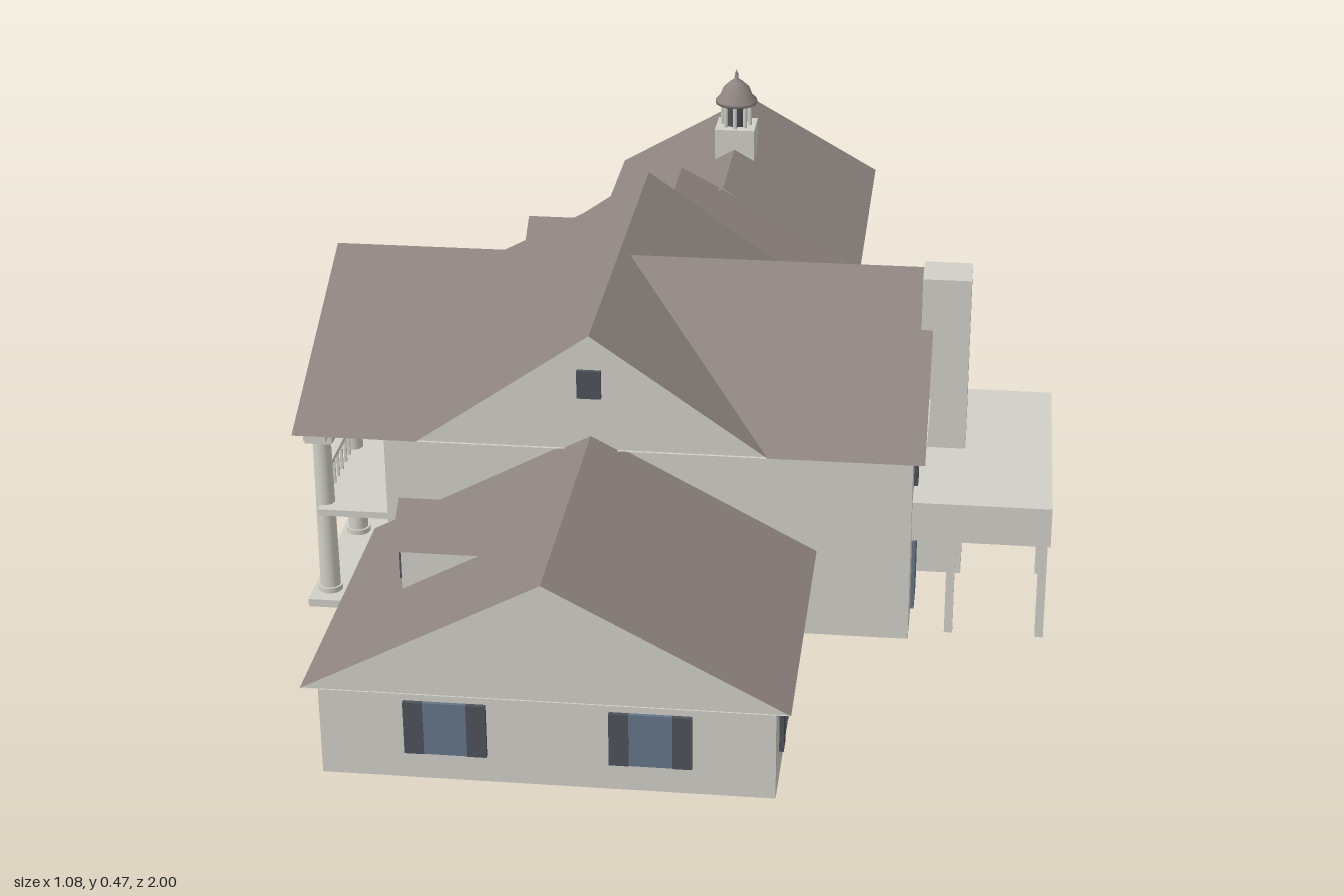
import * as THREE from 'three';

const mat = (name, color) => new THREE.MeshStandardMaterial({ name, color, side: THREE.DoubleSide });

export function createModel() {
  const house = new THREE.Group();
  house.name = 'house';
  const wall = mat('wall', 0xd0cfc7), roof = mat('roof', 0x8e8480);
  const glass = mat('glass', 0x64758a), shutter = mat('shutter', 0x4e5259);

  const add = (name, geo, m, x = 0, y = 0, z = 0, parent = house) => {
    const mesh = new THREE.Mesh(geo, m);
    mesh.name = name;
    mesh.position.set(x, y, z);
    parent.add(mesh);
    return mesh;
  };
  // Box given by its limits
  const block = (name, m, x0, x1, y0, y1, z0, z1) => add(name,
    new THREE.BoxGeometry(x1 - x0, y1 - y0, z1 - z0), m, (x0 + x1) / 2, (y0 + y1) / 2, (z0 + z1) / 2);
  // Flat convex faces, each a fan of corners
  const faces = (name, m, list) => {
    const p = [];
    for (const f of list) for (let i = 1; i < f.length - 1; i++) p.push(...f[0], ...f[i], ...f[i + 1]);
    const g = new THREE.BufferGeometry();
    g.setAttribute('position', new THREE.Float32BufferAttribute(p, 3));
    g.computeVertexNormals();
    return add(name, g, m);
  };
  // Four open walls
  const walls = (name, x0, x1, z0, z1, h) => {
    const c = [[x0, z0], [x0, z1], [x1, z1], [x1, z0]];
    faces(name, wall, c.map(([x, z], i) => {
      const [u, v] = c[(i + 1) % 4];
      return [[x, 0, z], [u, 0, v], [u, h, v], [x, h, z]];
    }));
  };
  // Flat ring under the eaves
  const soffit = (name, y, o, n) => {
    const rect = (T, [x0, x1, z0, z1]) => new T([[x0, z0], [x1, z0], [x1, z1], [x0, z1]].map(q => new THREE.Vector2(...q)));
    const s = rect(THREE.Shape, o);
    s.holes.push(rect(THREE.Path, n));
    add(name, new THREE.ShapeGeometry(s).rotateX(Math.PI / 2), wall, 0, y, 0);
  };

  // Low wings: walls, gable roof along z, gable ends
  const wing = (name, x0, x1, z0, z1, ridge, ends, wz0, wz1) => {
    const e = 0.135, c = (x0 + x1) / 2;
    walls(name + 'Walls', x0 + 0.02, x1 - 0.02, wz0, wz1, e);
    faces(name + 'Roof', roof, [x0, x1].map(x => [[x, e, z0], [c, ridge, z0], [c, ridge, z1], [x, e, z1]]));
    faces(name + 'Gable', wall, ends.map(z => [[x0, e, z], [x1, e, z], [c, ridge, z]]));
    soffit(name + 'Soffit', e, [x0, x1, z0, z1], [x0 + 0.02, x1 - 0.02, wz0 + 0.001, wz1 - 0.001]);
  };
  wing('frontWing', -0.43, 0.21, 0.556, 1, 0.305, [0.998], 0.556, 0.985);
  wing('middleWing', -0.43, 0.21, -0.52, -0.055, 0.305, [-0.518], -0.51, -0.055);
  wing('backWing', -0.28, 0.21, -1, -0.5, 0.275, [-0.998], -0.985, -0.51);

  // Main block with crossing gable roofs
  walls('mainWalls', -0.41, 0.343, -0.055, 0.556, 0.285);
  const E = 0.285, R = 0.45, P = 0.46, cx = -0.11, cz = 0.245;
  const zs = [-0.08, 0.57];
  const sides = [[-0.36, -0.124, -0.54], [0.14, -0.096, 0.36]];
  for (const [xe, xm, end] of sides) {
    faces('mainRoof', roof, zs.map(z => [[end, E, z], [xe, E, z], [xm, R, cz], [end, R, cz]]));
    faces('crossRoof', roof, [[[xm, R, cz], [xe, E, zs[0]], [cx, P, zs[0]], [cx, P, zs[1]], [xe, E, zs[1]]]]);
    const g = end * 0.99;
    faces('sideGable', wall, [[[g, E, zs[0]], [g, E, zs[1]], [g, R, cz]]]);
  }
  faces('crossGable', wall, [-0.076, 0.566].map(z => [[-0.36, E, z], [0.14, E, z], [cx, P, z]]));
  soffit('mainSoffit', E, [-0.54, 0.36, ...zs], [-0.409, 0.342, -0.054, 0.555]);
  for (const z of [-0.079, 0.569]) block('atticVent', shutter, -0.128, -0.094, 0.365, 0.407, z - 0.003, z + 0.003);

  // Windows and doors; turn points the plate along its wall normal
  const opening = (name, x, y, z, turn, w, h, sh) => {
    const g = new THREE.Group();
    g.name = name;
    g.position.set(x, y, z);
    g.rotation.y = turn;
    house.add(g);
    add('pane', new THREE.BoxGeometry(w, h, 0.006), glass, 0, 0, 0, g);
    if (sh) for (const s of [-1, 1]) add('shutter', new THREE.BoxGeometry(sh, h, 0.008), shutter, s * (w + sh) / 2, 0, 0, g);
  };
  const low = (x, z, turn) => opening('window', x, 0.078, z, turn, 0.057, 0.077, 0.026);
  const q = Math.PI / 2;
  for (const x of [-0.243, 0.027]) low(x, 0.987, 0);
  for (const x of [-0.16, 0.085]) low(x, -0.987, Math.PI);
  for (const z of [0.88, 0.675, -0.18, -0.385, -0.605, -0.74, -0.875]) {
    low(0.192, z, q);
    low(z < -0.5 ? -0.262 : -0.412, z, -q);
  }
  for (const [x, turn] of [[0.345, q], [-0.412, -q]])
    for (const z of [0.437, 0.245, 0.06]) {
      opening('door', x, 0.064, z, turn, 0.072, 0.122, 0);
      opening('upperWindow', x, 0.236, z, turn, 0.054, 0.046, 0.026);
    }

  // Dormers on the left-hand slopes
  const slope = y => -0.43 + (y - 0.135) * 0.32 / 0.17;
  for (const z of [0.765, -0.28]) {
    const e = 0.25, t = 0.297, f = -0.33, w = 0.055;
    faces('dormerRoof', roof, [-1, 1].map(s =>
      [[-0.342, e, z + s * 0.066], [-0.342, t, z], [slope(t), t, z], [slope(e), e, z + s * 0.066]]));
    faces('dormerWalls', wall, [
      [[f, 0.186, z - w], [f, 0.186, z + w], [f, e, z + w], [f, e, z - w]],
      [[f, e, z - 0.066], [f, e, z + 0.066], [f, t, z]],
      ...[-1, 1].map(s => [[f, 0.186, z + s * w], [slope(e), e, z + s * w], [f, e, z + s * w]])]);
    opening('dormerWindow', f - 0.002, 0.221, z, -q, 0.045, 0.05, 0.018);
  }

  // Chimney and right-hand terrace
  block('chimney', wall, 0.343, 0.413, 0, 0.475, 0.284, 0.352);
  block('terrace', wall, 0.343, 0.54, 0.148, 0.208, 0.143, 0.533);
  for (const [x, z] of [[0.53, 0.152], [0.53, 0.335], [0.53, 0.524], [0.4, 0.152], [0.4, 0.524]])
    block('terracePost', wall, x - 0.006, x + 0.006, 0, 0.15, z - 0.007, z + 0.007);

  // Two-storey porch on the left
  block('porchFloor', wall, -0.535, -0.41, 0, 0.012, -0.055, 0.556);
  block('porchBeam', wall, -0.527, -0.495, 0.27, 0.284, -0.055, 0.556);
  block('balcony', wall, -0.515, -0.41, 0.146, 0.156, -0.045, 0.546);
  block('balconyRail', wall, -0.515, -0.505, 0.2, 0.207, -0.03, 0.53);
  for (let i = 0; i <= 24; i++) {
    const z = -0.03 + i * 0.56 / 24;
    block('baluster', wall, -0.512, -0.508, 0.156, 0.2, z - 0.002, z + 0.002);
  }
  for (let i = 0; i < 4; i++) {
    const z = -0.03 + i * 0.183;
    add('porchColumn', new THREE.CylinderGeometry(0.013, 0.015, 0.25, 16), wall, -0.51, 0.135, z);
    add('columnBase', new THREE.CylinderGeometry(0.018, 0.018, 0.008, 16), wall, -0.51, 0.016, z);
    block('columnCapital', wall, -0.53, -0.49, 0.258, 0.272, z - 0.02, z + 0.02);
  }

  // Cupola on the back wing
  const kx = -0.035, kz = -0.738;
  block('cupolaBase', wall, kx - 0.036, kx + 0.036, 0.24, 0.312, kz - 0.036, kz + 0.036);
  add('cupolaCore', new THREE.CylinderGeometry(0.019, 0.019, 0.045, 8), shutter, kx, 0.333, kz);
  for (let i = 0; i < 8; i++) {
    const a = i * Math.PI / 4;
    add('cupolaPost', new THREE.CylinderGeometry(0.004, 0.004, 0.046, 6), wall, kx + Math.sin(a) * 0.025, 0.334, kz + Math.cos(a) * 0.025);
  }
  const dome = [[0, 0.354], [0.038, 0.354], [0.038, 0.36], [0.03, 0.368], [0.024, 0.383], [0.012, 0.394], [0.004, 0.4], [0.003, 0.41], [0, 0.417]];
  add('cupolaDome', new THREE.LatheGeometry(dome.map(d => new THREE.Vector2(...d)), 16), roof, kx, 0, kz);

  return house;
}
